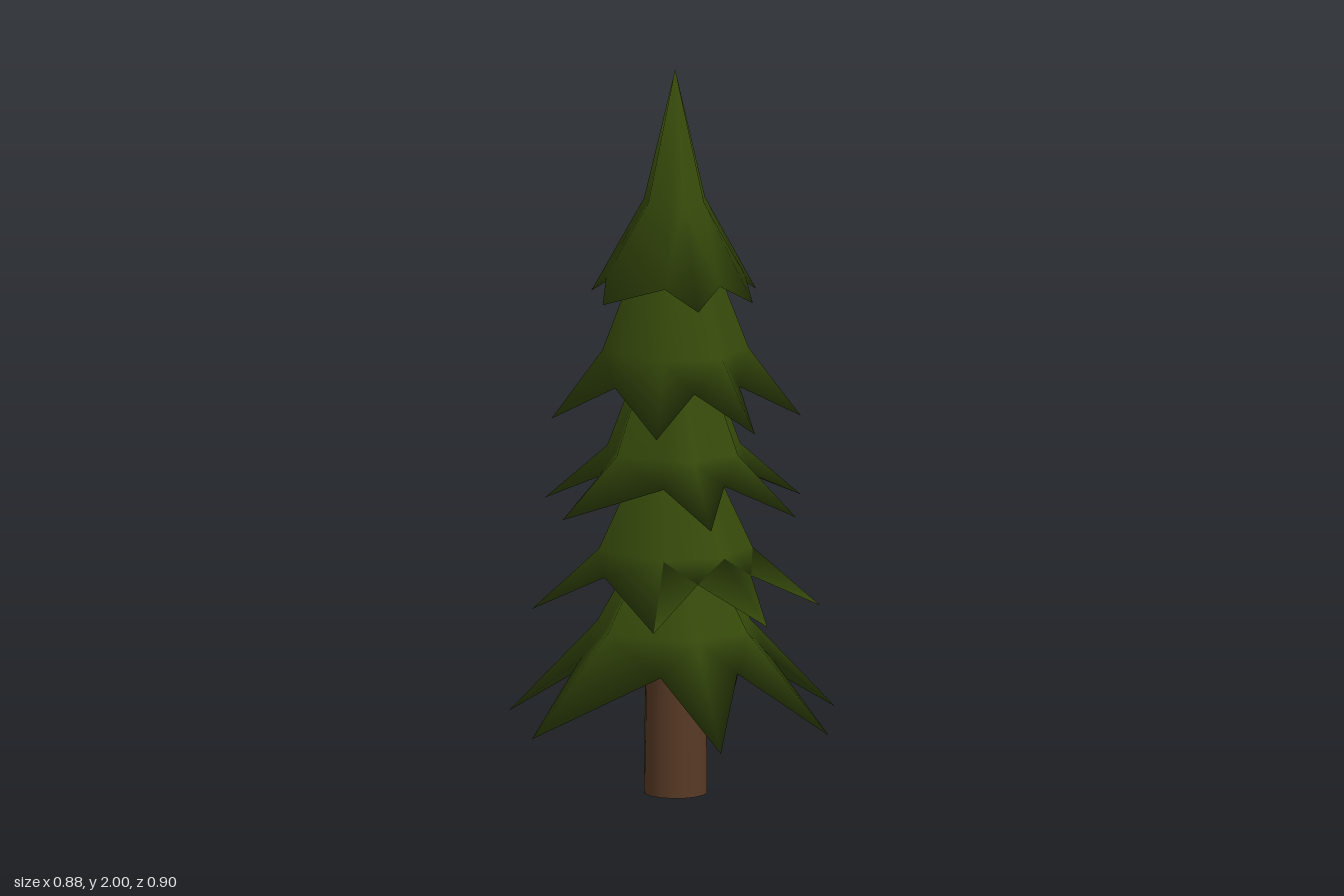
import * as THREE from 'three';

const POINTS = 14;                 // seven tips and seven valleys
const STEP = (Math.PI * 2) / 15;   // leaves one double-width gap per turn

// One skirt of branches: a cone whose lower rim alternates long tips and short valleys,
// closed by a hollow underside that rises to the height "under" on the axis.
// dir (+1 or -1) is the way round it is built, so alternate tiers are mirrored.
function branchTier({ apex, mid, tip, valley, under, start, dir }) {
  const pos = [0, apex, 0];
  const index = [];
  const ring = (tipR, tipY, valleyR, valleyY) => {
    for (let i = 0; i < POINTS; i++) {
      const isTip = i % 2 === 0;
      const a = (start + dir * i) * STEP;
      const r = isTip ? tipR : valleyR;
      pos.push(Math.cos(a) * r, isTip ? tipY : valleyY, Math.sin(a) * r);
    }
  };
  const tri = (a, b, c) => (dir > 0 ? index.push(a, b, c) : index.push(a, c, b));

  ring(mid[0], mid[1], mid[0] * 0.85, mid[1]);
  ring(tip[0], tip[1], valley[0], valley[1]);
  pos.push(0, under, 0);
  const base = 1 + 2 * POINTS;
  for (let i = 0; i < POINTS; i++) {
    const a = 1 + i, b = 1 + ((i + 1) % POINTS);
    const c = a + POINTS, d = b + POINTS;
    tri(0, b, a);
    // Diagonals meet at the root of each tip so that it keeps its ridge
    if (i % 2 === 0) {
      tri(a, b, d);
      tri(a, d, c);
    } else {
      tri(a, b, c);
      tri(b, d, c);
    }
    tri(base, c, d);
  }
  const geo = new THREE.BufferGeometry();
  geo.setAttribute('position', new THREE.Float32BufferAttribute(pos, 3));
  geo.setIndex(index);
  geo.computeVertexNormals();
  return geo;
}

export function createModel() {
  const tree = new THREE.Group();
  tree.name = 'pineTree';

  const needles = new THREE.MeshStandardMaterial({ color: 0x35480a });
  needles.name = 'needleGreen';
  const bark = new THREE.MeshStandardMaterial({ color: 0x583a25 });
  bark.name = 'barkBrown';

  // Trunk
  const trunk = new THREE.Mesh(new THREE.CylinderGeometry(0.08, 0.086, 0.6, 16), bark);
  trunk.name = 'trunk';
  trunk.position.set(0.015, 0.3, -0.005);
  tree.add(trunk);

  // Branch tiers from bottom to top, as [radius, height]
  const tiers = [
    { apex: 0.85, mid: [0.22, 0.46], tip: [0.465, 0.2], valley: [0.265, 0.37], under: 0.49 },
    { apex: 1.13, mid: [0.21, 0.68], tip: [0.393, 0.52], valley: [0.23, 0.62], under: 0.7 },
    { apex: 1.45, mid: [0.19, 0.95], tip: [0.365, 0.795], valley: [0.21, 0.88], under: 0.96 },
    { apex: 1.75, mid: [0.2, 1.23], tip: [0.34, 1.045], valley: [0.195, 1.14], under: 1.23 },
    { apex: 2.0, mid: [0.087, 1.64], tip: [0.235, 1.375], valley: [0.19, 1.43], under: 1.53 },
  ];
  tiers.forEach((tier, i) => {
    const turn = i % 2 === 0 ? { start: 4, dir: 1 } : { start: 2, dir: -1 };
    const mesh = new THREE.Mesh(branchTier({ ...tier, ...turn }), needles);
    mesh.name = `branchTier${i + 1}`;
    mesh.position.set(0.012, 0, -0.006);
    tree.add(mesh);
  });

  return tree;
}
